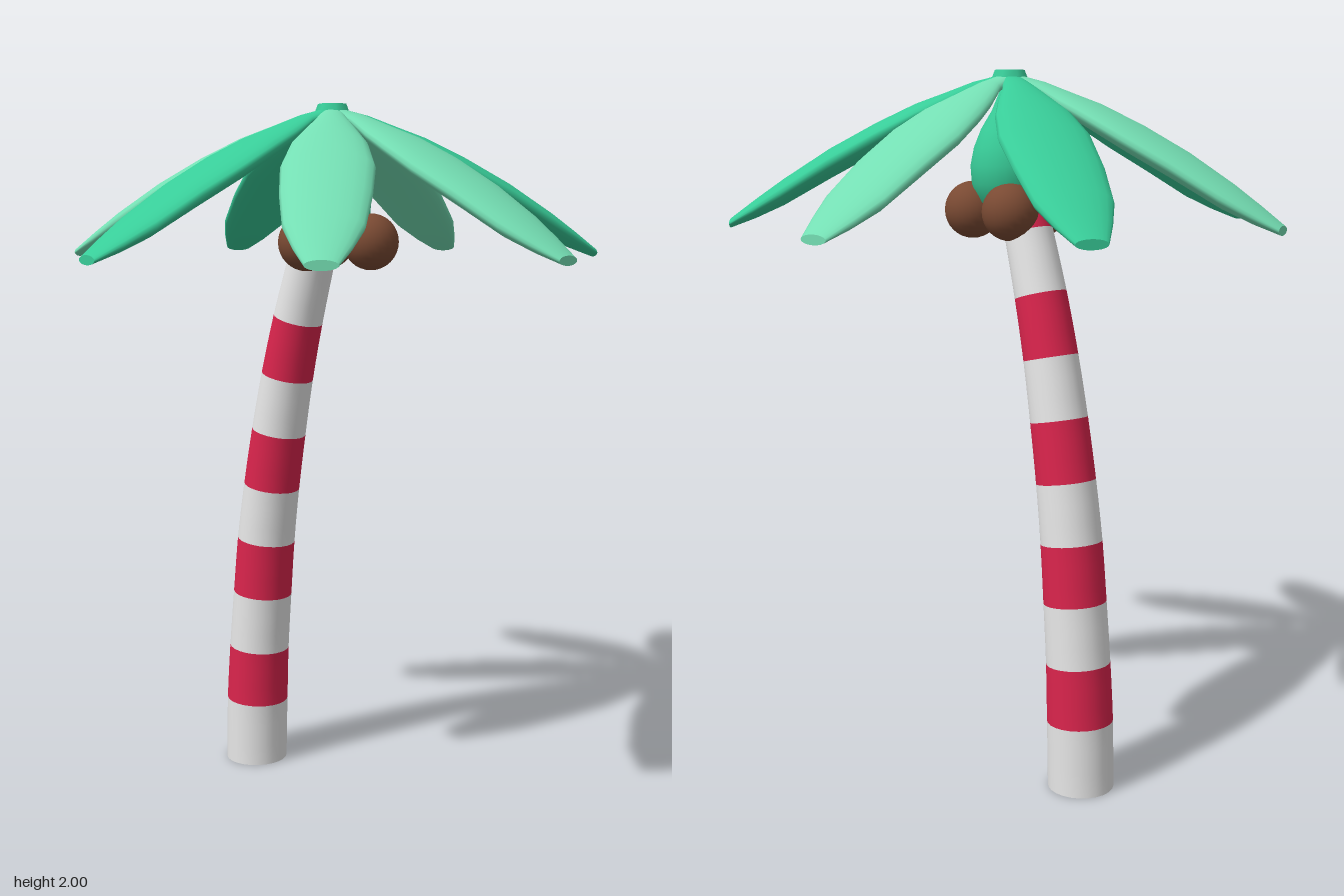
import * as THREE from 'three';

const material = (name, color) => {
  const m = new THREE.MeshStandardMaterial({ color });
  m.name = name;
  return m;
};

// Skin a list of equal-length rings (counter-clockwise about the advance direction), with flat end caps
function loft(rings) {
  const n = rings[0].length, pos = [], idx = [];
  rings.forEach(ring => ring.forEach(p => pos.push(p.x, p.y, p.z)));
  for (let i = 0; i < rings.length - 1; i++) {
    for (let j = 0; j < n; j++) {
      const a = i * n + j, b = i * n + (j + 1) % n;
      idx.push(a, b, a + n, b, b + n, a + n);
    }
  }
  [[rings[0], true], [rings[rings.length - 1], false]].forEach(([ring, flip]) => {
    const start = pos.length / 3;
    ring.forEach(p => pos.push(p.x, p.y, p.z));
    for (let j = 1; j < n - 1; j++) {
      if (flip) idx.push(start, start + j + 1, start + j);
      else idx.push(start, start + j, start + j + 1);
    }
  });
  const g = new THREE.BufferGeometry();
  g.setAttribute('position', new THREE.Float32BufferAttribute(pos, 3));
  g.setIndex(idx);
  g.computeVertexNormals();
  return g;
}

export function createModel() {
  const white = material('white', 0xe6e6e6);
  const red = material('red', 0xd9244c);
  const brown = material('brown', 0x7a4a33);
  const green = material('green', 0x38cc98);
  const lightGreen = material('light green', 0x74deb3);

  const model = new THREE.Group();
  model.name = 'palmTree';
  const add = (parent, name, geometry, mat) => {
    const mesh = new THREE.Mesh(geometry, mat);
    mesh.name = name;
    parent.add(mesh);
    return mesh;
  };

  // Leaning trunk: band boundaries as [x, y, radius]
  const bands = [
    [-0.35, 0, 0.094], [-0.344, 0.195, 0.094], [-0.334, 0.365, 0.091],
    [-0.318, 0.54, 0.089], [-0.301, 0.71, 0.087], [-0.276, 0.88, 0.084],
    [-0.245, 1.05, 0.081], [-0.209, 1.22, 0.077], [-0.165, 1.39, 0.073],
    [-0.113, 1.56, 0.068], [-0.075, 1.68, 0.064],
  ];
  const path = new THREE.CatmullRomCurve3(bands.map(([x, y]) => new THREE.Vector3(x, y, 0)));
  const count = bands.length - 1;
  const trunkRing = (u) => {
    const i = Math.min(Math.floor(u), count - 1);
    const r = THREE.MathUtils.lerp(bands[i][2], bands[i + 1][2], u - i);
    const c = path.getPoint(u / count);
    const t = u === 0 ? new THREE.Vector3(0, 1, 0) : path.getTangent(u / count);
    return Array.from({ length: 24 }, (_, j) => {
      const a = j / 24 * Math.PI * 2, s = r * Math.cos(a);
      return new THREE.Vector3(c.x + t.y * s, c.y - t.x * s, -r * Math.sin(a));
    });
  };
  const trunk = new THREE.Group();
  trunk.name = 'trunk';
  model.add(trunk);
  for (let i = 0; i < count; i++) {
    const rings = [0, 0.33, 0.67, 1].map(f => trunkRing(i + f));
    add(trunk, 'trunkBand', loft(rings), i % 2 ? red : white);
  }

  // Crown group sits above the trunk
  const crown = new THREE.Group();
  crown.name = 'crown';
  crown.position.x = -0.03;
  model.add(crown);

  // Puffy leaf stations: distance, height, half width, half thickness
  const stations = [
    [0, 1.983, 0.025, 0.01], [0.1, 1.948, 0.045, 0.02], [0.18, 1.908, 0.078, 0.03],
    [0.26, 1.872, 0.105, 0.037], [0.37, 1.816, 0.124, 0.041], [0.5, 1.746, 0.118, 0.041],
    [0.63, 1.668, 0.102, 0.036], [0.71, 1.622, 0.073, 0.026], [0.78, 1.583, 0.042, 0.013],
  ];
  const leafGeometry = loft(stations.map(([r, y, w, h]) =>
    Array.from({ length: 20 }, (_, j) => {
      const a = j / 20 * Math.PI * 2;
      return new THREE.Vector3(r, y + h * Math.cos(a), w * Math.sin(a));
    })));
  for (let i = 0; i < 7; i++) {
    const leaf = add(crown, 'leaf', leafGeometry, i % 2 ? green : lightGreen);
    leaf.rotation.y = i / 7 * Math.PI * 2;
  }

  // Small cap where the leaves meet
  const cap = add(crown, 'crownCap', new THREE.CylinderGeometry(0.042, 0.054, 0.03, 7), green);
  cap.position.y = 1.985;

  // Egg-shaped bud under the leaves
  const budProfile = [
    [0, 1.6], [0.05, 1.61], [0.085, 1.64], [0.106, 1.69], [0.11, 1.74],
    [0.1, 1.79], [0.08, 1.84], [0.05, 1.89], [0.025, 1.95], [0, 1.97],
  ].map(([x, y]) => new THREE.Vector2(x, y));
  add(crown, 'bud', new THREE.LatheGeometry(budProfile, 24), green);

  // Coconuts around the trunk top
  const nut = new THREE.SphereGeometry(0.08, 24, 16);
  [[-0.037, 0.106], [0.062, -0.058], [-0.1, -0.055]].forEach(([x, z]) => {
    add(model, 'coconut', nut, brown).position.set(x, 1.617, z);
  });

  return model;
}
